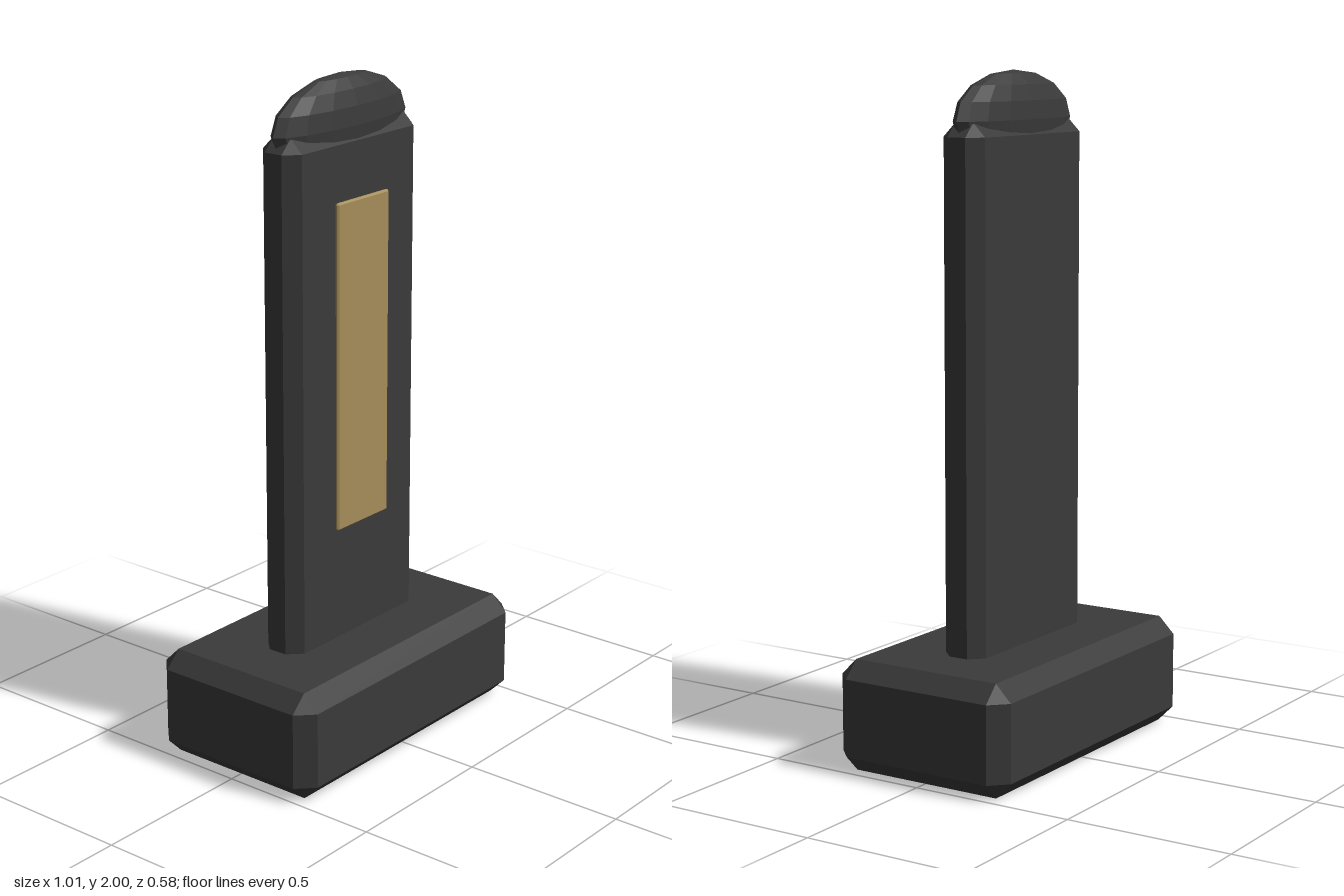
import * as THREE from 'three';
import { ConvexGeometry } from 'three/addons/geometries/ConvexGeometry.js';

// Box with every edge and corner cut at 45 degrees, standing from y0 to y1
function chamferedBox(halfX, y0, y1, halfZ, cut) {
  const halfY = (y1 - y0) / 2;
  const points = [];
  for (const sx of [-1, 1]) for (const sy of [-1, 1]) for (const sz of [-1, 1]) {
    for (let axis = 0; axis < 3; axis++) {
      const inset = [cut, cut, cut];
      inset[axis] = 0;
      points.push(new THREE.Vector3(
        sx * (halfX - inset[0]), sy * (halfY - inset[1]), sz * (halfZ - inset[2])));
    }
  }
  return new ConvexGeometry(points).translate(0, (y0 + y1) / 2, 0);
}

export function createModel() {
  const model = new THREE.Group();
  model.name = 'memorialStone';

  const stone = new THREE.MeshStandardMaterial({ color: 0x3a3a3a });
  stone.name = 'dark stone';
  stone.flatShading = true;
  const brass = new THREE.MeshStandardMaterial({ color: 0xa68e59 });
  brass.name = 'brass';

  const add = (name, geometry, material) => {
    const mesh = new THREE.Mesh(geometry, material);
    mesh.name = name;
    model.add(mesh);
    return mesh;
  };

  // Plinth and upright slab
  add('base', chamferedBox(0.507, 0, 0.33, 0.29, 0.05), stone);
  add('slab', chamferedBox(0.29, 0.25, 1.857, 0.07, 0.04), stone);

  // Flattened rounded cap sunk into the top of the slab
  const cap = add('cap', new THREE.SphereGeometry(1, 16, 8), stone);
  cap.scale.set(0.29, 0.14, 0.07);
  cap.position.y = 1.86;

  // Blank plaque set just off the front face
  const plaque = add('plaque', chamferedBox(0.116, 0.677, 1.657, 0.007, 0.005), brass);
  plaque.position.z = 0.082;

  return model;
}
